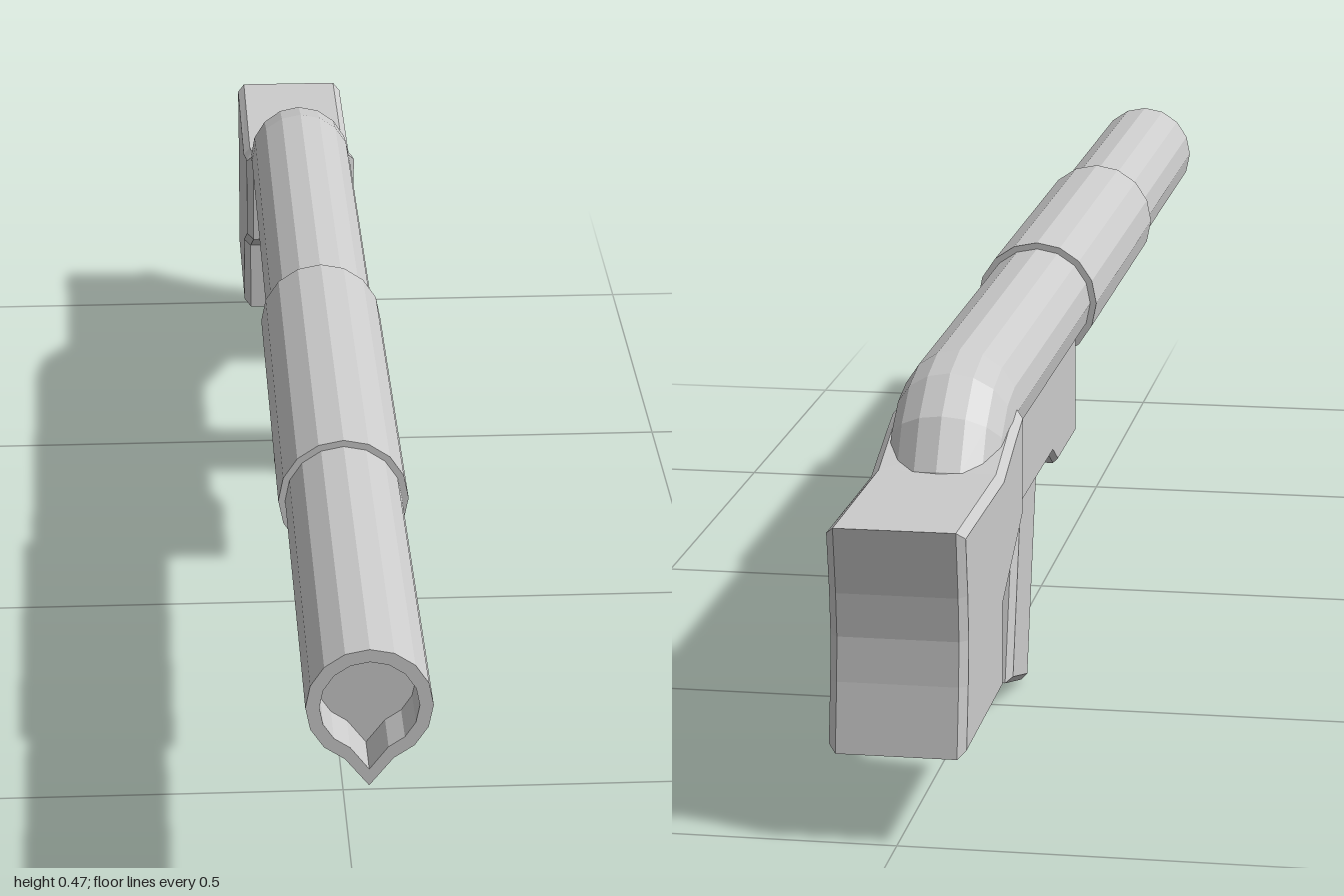
import * as THREE from 'three';

const material = new THREE.MeshStandardMaterial({ color: 0xcccccc, flatShading: true, side: THREE.DoubleSide });
const SIDES = 16;
const AXIS_Y = 0.391;

// Teardrop ring: a 16-sided circle whose lowest corner is pulled down to a point
function ring(radius, drop, z, bend = 0) {
  const pivotY = 0.29, points = [];
  for (let i = 0; i < SIDES; i++) {
    const a = (i / SIDES) * Math.PI * 2;
    const x = radius * Math.cos(a);
    const y = AXIS_Y + (i === SIDES * 0.75 ? -drop : radius * Math.sin(a));
    const r = y - pivotY;
    points.push([x, pivotY + r * Math.cos(bend), z - r * Math.sin(bend)]);
  }
  return points;
}

// Skin over successive rings, with a flat cap on both ends
function loft(name, rings) {
  const pos = rings.flat(2), index = [];
  const last = (rings.length - 1) * SIDES;
  for (let i = 0; i < rings.length - 1; i++) {
    for (let j = 0; j < SIDES; j++) {
      const k = (j + 1) % SIDES;
      const a = i * SIDES + j, b = i * SIDES + k;
      index.push(a, a + SIDES, b, b, a + SIDES, b + SIDES);
    }
  }
  const cap = SIDES * rings.length;
  for (const r of [rings[0], rings[rings.length - 1]]) {
    for (let c = 0; c < 3; c++) pos.push(r.reduce((s, p) => s + p[c], 0) / SIDES);
  }
  for (let j = 0; j < SIDES; j++) {
    const k = (j + 1) % SIDES;
    index.push(cap, j, k, cap + 1, last + k, last + j);
  }
  const geometry = new THREE.BufferGeometry();
  geometry.setAttribute('position', new THREE.Float32BufferAttribute(pos, 3));
  geometry.setIndex(index);
  geometry.computeVertexNormals();
  const mesh = new THREE.Mesh(geometry, material);
  mesh.name = name;
  return mesh;
}

// Side profile given as [z, y], extruded across x with chamfered edges
function slab(name, halfWidth, bevel, profile) {
  const shape = new THREE.Shape(profile.map(([z, y]) => new THREE.Vector2(-z, y)));
  const geometry = new THREE.ExtrudeGeometry(shape, {
    depth: 2 * (halfWidth - bevel), bevelEnabled: true, bevelSegments: 1,
    bevelSize: bevel, bevelOffset: -bevel, bevelThickness: bevel,
  });
  geometry.translate(0, 0, bevel - halfWidth);
  geometry.rotateY(Math.PI / 2);
  const mesh = new THREE.Mesh(geometry, material);
  mesh.name = name;
  return mesh;
}

export function createModel() {
  const group = new THREE.Group();
  group.name = 'longGun';

  // Barrel: recessed bore, muzzle rim, straight tube, then an elbow down into the stock
  const barrel = [
    ring(0.054, 0.077, 0.94), ring(0.054, 0.077, 1),
    ring(0.069, 0.097, 1), ring(0.069, 0.097, -0.595),
  ];
  for (let i = 1; i <= 4; i++) barrel.push(ring(0.069, 0.097, -0.595, i * Math.PI / 8));
  group.add(loft('barrel', barrel));

  // Sliding sleeve around the barrel
  group.add(loft('sleeve', [ring(0.077, 0.109, 0.495), ring(0.077, 0.109, -0.035)]));

  // Receiver with the deeper front lip
  group.add(slab('receiver', 0.055, 0.006, [
    [-0.06, 0.36], [-0.06, 0.226], [-0.215, 0.226], [-0.255, 0.248],
    [-0.68, 0.248], [-0.68, 0.36],
  ]));

  // Raked pistol grip
  group.add(slab('grip', 0.047, 0.008, [
    [-0.316, 0.29], [-0.398, 0], [-0.52, 0.034], [-0.447, 0.29],
  ]));

  // Shoulder stock with a hollowed butt
  group.add(slab('stock', 0.076, 0.009, [
    [-0.605, 0.395], [-0.605, 0.268], [-0.747, 0.2], [-0.747, 0.102],
    [-1, 0.102], [-0.988, 0.18], [-0.984, 0.23], [-0.988, 0.28], [-1, 0.356],
    [-0.745, 0.353], [-0.66, 0.381],
  ]));

  return group;
}
